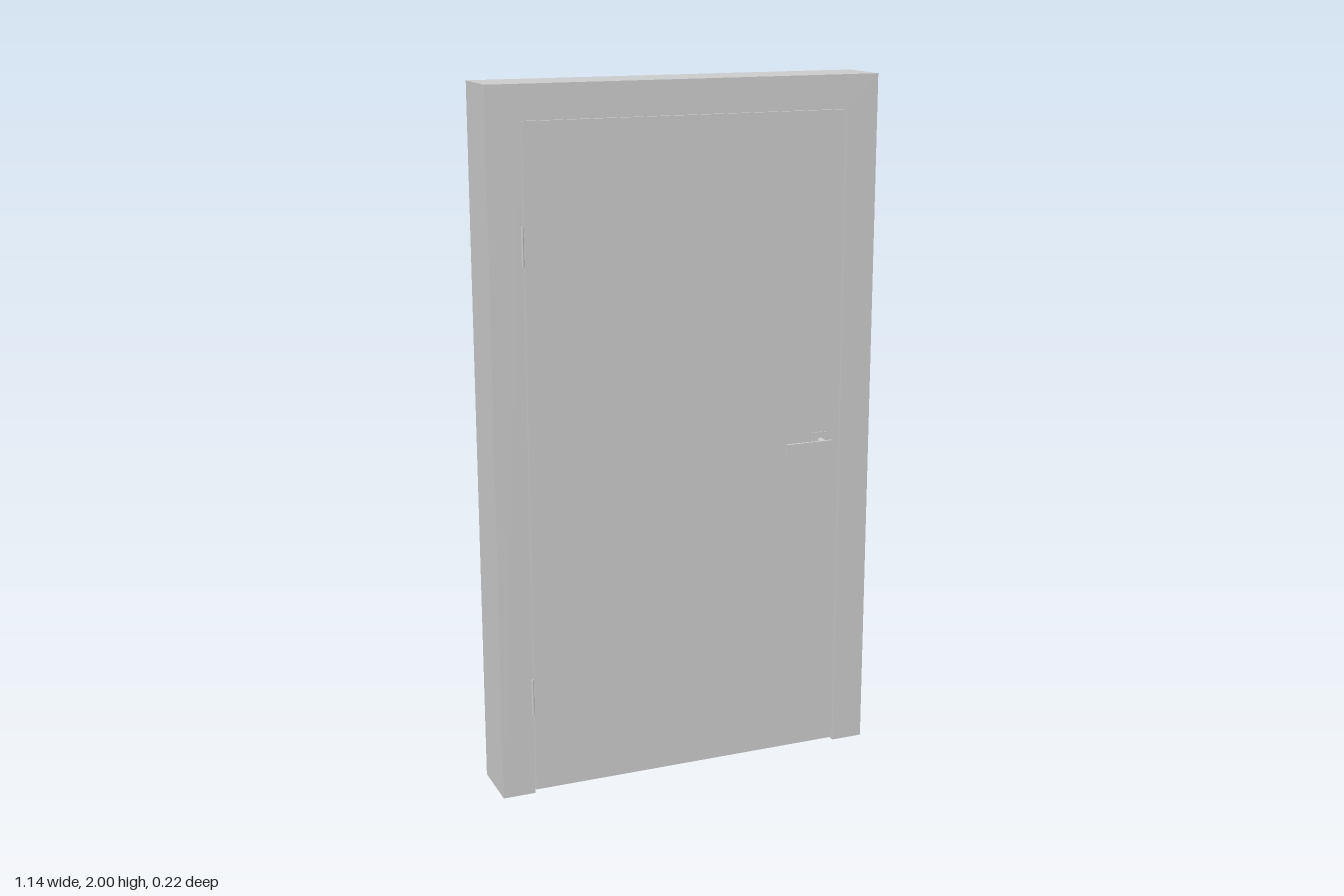
import * as THREE from 'three';

const material = new THREE.MeshStandardMaterial({ color: 0xcccccc, side: THREE.DoubleSide });

const FRONT = 0.057, BACK = -0.113;      // frame faces
const DOOR_BACK = 0.012;                 // rear face of the leaf
const HANDLE_X = 0.411, HANDLE_Y = 0.955;

function add(parent, name, geometry, x = 0, y = 0, z = 0) {
  const mesh = new THREE.Mesh(geometry, material);
  mesh.name = name;
  mesh.position.set(x, y, z);
  parent.add(mesh);
  return mesh;
}

// Frame: a rebated profile swept up, across and down with mitred corners, open at the feet
function frameGeometry() {
  // [half width at this profile point, z]
  const profile = [
    [0.57, BACK], [0.57, FRONT], [0.475, FRONT], [0.475, DOOR_BACK + 0.001],
    [0.455, DOOR_BACK + 0.001], [0.455, -0.033], [0.475, -0.033], [0.475, BACK],
  ];
  const path = ([w, z]) => {
    const top = 2 - (0.57 - w);
    return [[-w, 0, z], [-w, top, z], [w, top, z], [w, 0, z]];
  };
  const positions = [];
  profile.forEach((point, i) => {
    const a = path(point), b = path(profile[(i + 1) % profile.length]);
    for (let j = 0; j < 3; j++) {
      positions.push(...a[j], ...b[j], ...b[j + 1], ...a[j], ...b[j + 1], ...a[j + 1]);
    }
  });
  const geometry = new THREE.BufferGeometry();
  geometry.setAttribute('position', new THREE.Float32BufferAttribute(positions, 3));
  geometry.computeVertexNormals();
  return geometry;
}

// Lever handle: square rose, round neck and flat lever; dir is +1 in front, -1 behind
function handle(name, faceZ, dir) {
  const group = new THREE.Group();
  group.name = name;
  add(group, 'rose', new THREE.BoxGeometry(0.052, 0.052, 0.003), 0, 0, dir * 0.0015);
  const neck = add(group, 'neck', new THREE.CylinderGeometry(0.009, 0.009, 0.046, 24), 0, 0, dir * 0.024);
  neck.rotation.x = Math.PI / 2;
  add(group, 'lever', new THREE.BoxGeometry(0.145, 0.026, 0.008), -0.0585, 0, dir * 0.05);
  group.position.set(HANDLE_X, HANDLE_Y, faceZ);
  return group;
}

export function createModel() {
  const model = new THREE.Group();
  model.name = 'door';

  add(model, 'frame', frameGeometry());

  // Leaf, flush with the front of the frame
  const thickness = FRONT - DOOR_BACK;
  add(model, 'leaf', new THREE.BoxGeometry(0.944, 1.894, thickness), 0, 0.957, FRONT - thickness / 2);

  model.add(handle('frontHandle', FRONT, 1), handle('backHandle', DOOR_BACK, -1));

  // Hinge barrels on the right-hand seam
  for (const y of [0.295, 1.575]) {
    add(model, 'hinge', new THREE.CylinderGeometry(0.0035, 0.0035, 0.108, 12), -0.477, y, FRONT + 0.002);
  }
  return model;
}
